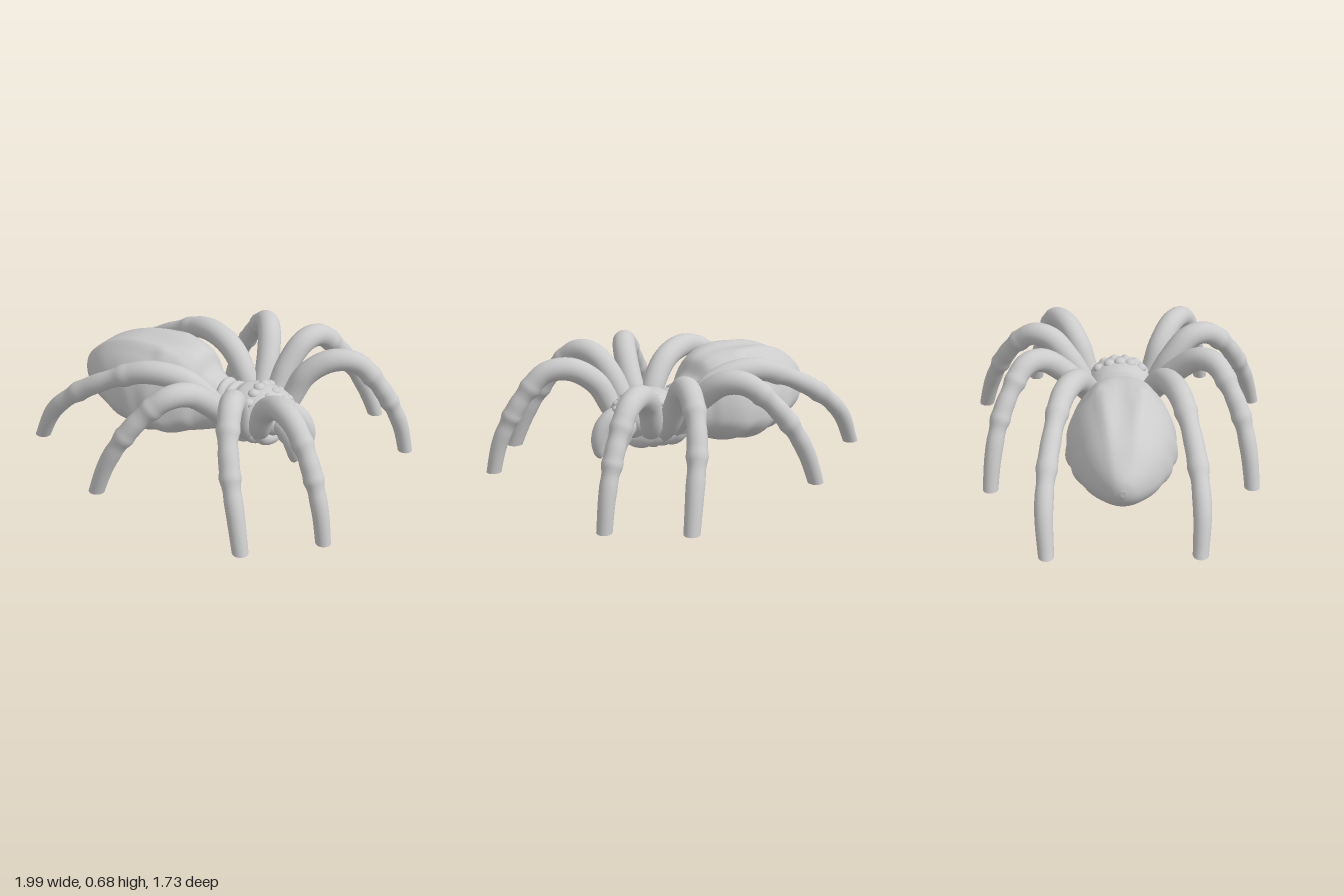
import * as THREE from 'three';

const V = (x, y, z) => new THREE.Vector3(x, y, z);
const material = new THREE.MeshStandardMaterial({ color: 0xcccccc, roughness: 0.8 });
const bell = (x, c, w) => Math.exp(-(((x - c) / w) ** 2));

function mesh(name, geometry) {
  const m = new THREE.Mesh(geometry, material);
  m.name = name;
  return m;
}

// Skin a list of rings (equal point counts) and close both ends
function loft(rings) {
  const n = rings[0].length;
  const pos = [], index = [];
  rings.forEach(r => r.forEach(p => pos.push(p.x, p.y, p.z)));
  for (let i = 0; i < rings.length - 1; i++) {
    for (let j = 0; j < n; j++) {
      const a = i * n + j, b = i * n + (j + 1) % n;
      index.push(a, a + n, b, b, a + n, b + n);
    }
  }
  [rings[0], rings[rings.length - 1]].forEach((ring, end) => {
    const start = pos.length / 3;
    const c = V(0, 0, 0);
    ring.forEach(p => { pos.push(p.x, p.y, p.z); c.addScaledVector(p, 1 / n); });
    pos.push(c.x, c.y, c.z);
    for (let j = 0; j < n; j++) {
      const a = start + j, b = start + (j + 1) % n;
      if (end) index.push(start + n, b, a); else index.push(start + n, a, b);
    }
  });
  const g = new THREE.BufferGeometry();
  g.setAttribute('position', new THREE.Float32BufferAttribute(pos, 3));
  g.setIndex(index);
  g.computeVertexNormals();
  return g;
}

// Tapered limb through points [x, y, z, radius]; swellings are [point number, width, amount]
function limb(points, side, swellings = [], steps = 64) {
  const last = points.length - 1;
  const curve = new THREE.CatmullRomCurve3(points.map(p => V(p[0], p[1], p[2] * side)), false, 'centripetal');
  const radii = new THREE.SplineCurve(points.map((p, i) => new THREE.Vector2(i, p[3])));
  const across = curve.getPoint(1).sub(curve.getPoint(0)).setY(0).cross(V(0, 1, 0)).normalize();
  const rings = [];
  for (let i = 0; i <= steps; i++) {
    const t = i / steps, c = curve.getPoint(t), T = curve.getTangent(t);
    const N = across.clone().addScaledVector(T, -across.dot(T)).normalize();
    const B = N.clone().cross(T);
    let r = radii.getPoint(t).y;
    swellings.forEach(([k, w, amount]) => { r *= 1 + amount * bell(t * last, k, w); });
    const ring = [];
    for (let j = 0; j < 20; j++) {
      const a = j / 20 * Math.PI * 2;
      const p = c.clone().addScaledVector(N, r * Math.cos(a)).addScaledVector(B, r * Math.sin(a));
      if (p.y < 0) p.addScaledVector(T, -p.y / T.y); // cut feet flat on the floor
      ring.push(p);
    }
    rings.push(ring);
  }
  return loft(rings);
}

// Body along x from stations [x, top, bottom, halfWidth, height of widest level]
function body(stations, relief, steps = 90, sides = 64) {
  const part = k => new THREE.SplineCurve(stations.map((s, i) => new THREE.Vector2(i, s[k])));
  const curves = [0, 1, 2, 3, 4].map(part);
  const rings = [];
  for (let i = 0; i <= steps; i++) {
    const [x, top, bottom, w, mid] = curves.map(c => c.getPoint(i / steps).y);
    const ring = [];
    for (let j = 0; j < sides; j++) {
      const a = j / sides * Math.PI * 2, s = Math.sin(a), c = Math.cos(a);
      const p = V(x, mid + (s > 0 ? top - mid : mid - bottom) * s, w * c);
      relief(p, s);
      ring.push(p);
    }
    rings.push(ring);
  }
  return loft(rings);
}

function ellipsoid(name, x, y, z, rx, ry, rz) {
  const m = mesh(name, new THREE.SphereGeometry(1, 20, 14));
  m.position.set(x, y, z);
  m.scale.set(rx, ry, rz);
  return m;
}

export function createModel() {
  const model = new THREE.Group();

  // Abdomen with a ridged back and slanting folds along its flanks
  model.add(mesh('abdomen', body([
    [-0.87, 0.35, 0.31, 0.015, 0.33],
    [-0.85, 0.40, 0.26, 0.065, 0.32],
    [-0.79, 0.46, 0.20, 0.13, 0.31],
    [-0.68, 0.54, 0.15, 0.21, 0.30],
    [-0.53, 0.60, 0.10, 0.27, 0.28],
    [-0.36, 0.625, 0.075, 0.305, 0.26],
    [-0.20, 0.625, 0.09, 0.29, 0.26],
    [-0.09, 0.59, 0.115, 0.23, 0.28],
    [-0.03, 0.50, 0.13, 0.18, 0.29],
    [0.05, 0.45, 0.15, 0.14, 0.29],
    [0.16, 0.43, 0.17, 0.11, 0.29],
  ], (p, s) => {
    const fade = bell(p.x, -0.38, 0.33);
    if (s > 0) {
      const spread = 0.05 + 0.12 * (p.x + 0.87);
      p.y += fade * (0.016 * bell(Math.abs(p.z), spread, 0.025) - 0.022 * bell(p.z, 0, 0.05)) * s;
      p.y += 0.012 * bell(p.x, -0.27, 0.04) * bell(Math.abs(p.z), 0.145, 0.03);
    }
    const flank = Math.max(0, 0.75 - s) / 1.75;
    const fold = 0.03 * fade * flank * Math.sin((p.x + p.y * 0.4) * 38);
    p.z *= 1 + fold * 1.3;
    p.y += fold * 0.2 * s;
  })));

  // Head and chest shield
  model.add(mesh('carapace', body([
    [0.08, 0.42, 0.24, 0.09, 0.33],
    [0.11, 0.45, 0.21, 0.13, 0.33],
    [0.17, 0.465, 0.185, 0.165, 0.33],
    [0.25, 0.475, 0.18, 0.185, 0.33],
    [0.33, 0.47, 0.19, 0.18, 0.34],
    [0.40, 0.445, 0.21, 0.16, 0.34],
    [0.45, 0.41, 0.25, 0.12, 0.34],
    [0.47, 0.36, 0.30, 0.06, 0.33],
  ], (p, s) => {
    if (s > 0) p.y -= 0.02 * s * bell(p.x, 0.15, 0.025);
  })));

  // Waist rings between abdomen and chest
  for (const [x, r] of [[0.0, 0.135], [0.07, 0.12]])
    model.add(ellipsoid('waistRing', x, 0.34, 0, 0.05, 0.125, r));

  // Eyes, in rows from back to front: [x, y, z, radius]
  const eyes = [
    [0.28, 0.468, 0, 0.034], [0.28, 0.458, 0.06, 0.034], [0.28, 0.43, 0.12, 0.034],
    [0.36, 0.45, 0.035, 0.026], [0.36, 0.43, 0.09, 0.028],
    [0.42, 0.42, 0.03, 0.026], [0.42, 0.40, 0.085, 0.026], [0.45, 0.385, 0.05, 0.024],
  ];
  for (const [x, y, z, r] of eyes)
    for (const side of z ? [1, -1] : [1]) model.add(ellipsoid('eye', x, y, z * side, r, r * 0.75, r));

  // Legs, front to back: points [x, y, z, radius]
  const legs = {
    frontLeg: [
      [0.33, 0.23, 0.05, 0.05], [0.38, 0.33, 0.17, 0.06], [0.45, 0.49, 0.235, 0.065], [0.57, 0.575, 0.31, 0.065],
      [0.69, 0.56, 0.38, 0.06], [0.79, 0.45, 0.43, 0.055], [0.865, 0.32, 0.47, 0.051],
      [0.925, 0.17, 0.505, 0.045], [0.96, 0, 0.525, 0.041], [0.968, -0.05, 0.527, 0.041]],
    secondLeg: [
      [0.28, 0.20, 0.05, 0.05], [0.28, 0.31, 0.18, 0.06], [0.30, 0.48, 0.29, 0.066], [0.345, 0.595, 0.40, 0.067],
      [0.385, 0.605, 0.50, 0.064], [0.44, 0.51, 0.615, 0.057], [0.51, 0.35, 0.71, 0.053],
      [0.58, 0.18, 0.775, 0.048], [0.635, 0, 0.82, 0.043], [0.648, -0.05, 0.828, 0.043]],
    thirdLeg: [
      [0.22, 0.20, 0.05, 0.05], [0.20, 0.31, 0.17, 0.06], [0.16, 0.48, 0.32, 0.066], [0.10, 0.585, 0.44, 0.067],
      [0.03, 0.59, 0.53, 0.064], [-0.07, 0.50, 0.605, 0.057], [-0.17, 0.36, 0.67, 0.053],
      [-0.26, 0.19, 0.71, 0.048], [-0.325, 0, 0.73, 0.043], [-0.34, -0.05, 0.732, 0.043]],
    rearLeg: [
      [0.17, 0.19, 0.05, 0.05], [0.15, 0.28, 0.14, 0.06], [0.07, 0.43, 0.195, 0.066], [-0.05, 0.535, 0.245, 0.068],
      [-0.24, 0.565, 0.31, 0.066], [-0.43, 0.50, 0.355, 0.057], [-0.67, 0.36, 0.395, 0.053],
      [-0.84, 0.20, 0.41, 0.049], [-0.945, 0, 0.40, 0.042], [-0.97, -0.05, 0.397, 0.042]],
  };
  const joints = [[4.75, 0.13, 0.1], [5.15, 0.2, -0.08], [6, 0.13, 0.12], [6.35, 0.2, -0.08]];

  for (const side of [1, -1]) {
    for (const [name, points] of Object.entries(legs))
      model.add(mesh((side > 0 ? 'left' : 'right') + name[0].toUpperCase() + name.slice(1), limb(points, side, joints, 90)));

    // Fleshy folds slanting down from the leg roots to the underside
    for (let i = 0; i < 4; i++) {
      const x = 0.14 + i * 0.07, lift = i * 0.01;
      model.add(mesh('legBase', limb([
        [x - 0.03, 0.34 + lift, 0.13, 0.02], [x, 0.27 + lift, 0.145, 0.042], [x + 0.03, 0.215 + lift, 0.12, 0.045],
        [x + 0.05, 0.195 + lift, 0.06, 0.04], [x + 0.055, 0.20 + lift, 0, 0.035]], side, [], 24)));
    }

    // Jaws with blunt curved fangs
    model.add(mesh('jaw', limb([
      [0.40, 0.34, 0.055, 0.05], [0.46, 0.33, 0.072, 0.055], [0.515, 0.285, 0.083, 0.052],
      [0.545, 0.215, 0.085, 0.046], [0.55, 0.15, 0.08, 0.032], [0.546, 0.122, 0.076, 0.018],
      [0.544, 0.112, 0.075, 0.003]], side, [], 40)));
    model.add(mesh('mouthpart', limb([
      [0.38, 0.28, 0.03, 0.035], [0.44, 0.25, 0.035, 0.034], [0.47, 0.20, 0.03, 0.025],
      [0.475, 0.17, 0.025, 0.004]], side, [], 24)));
  }
  return model;
}
